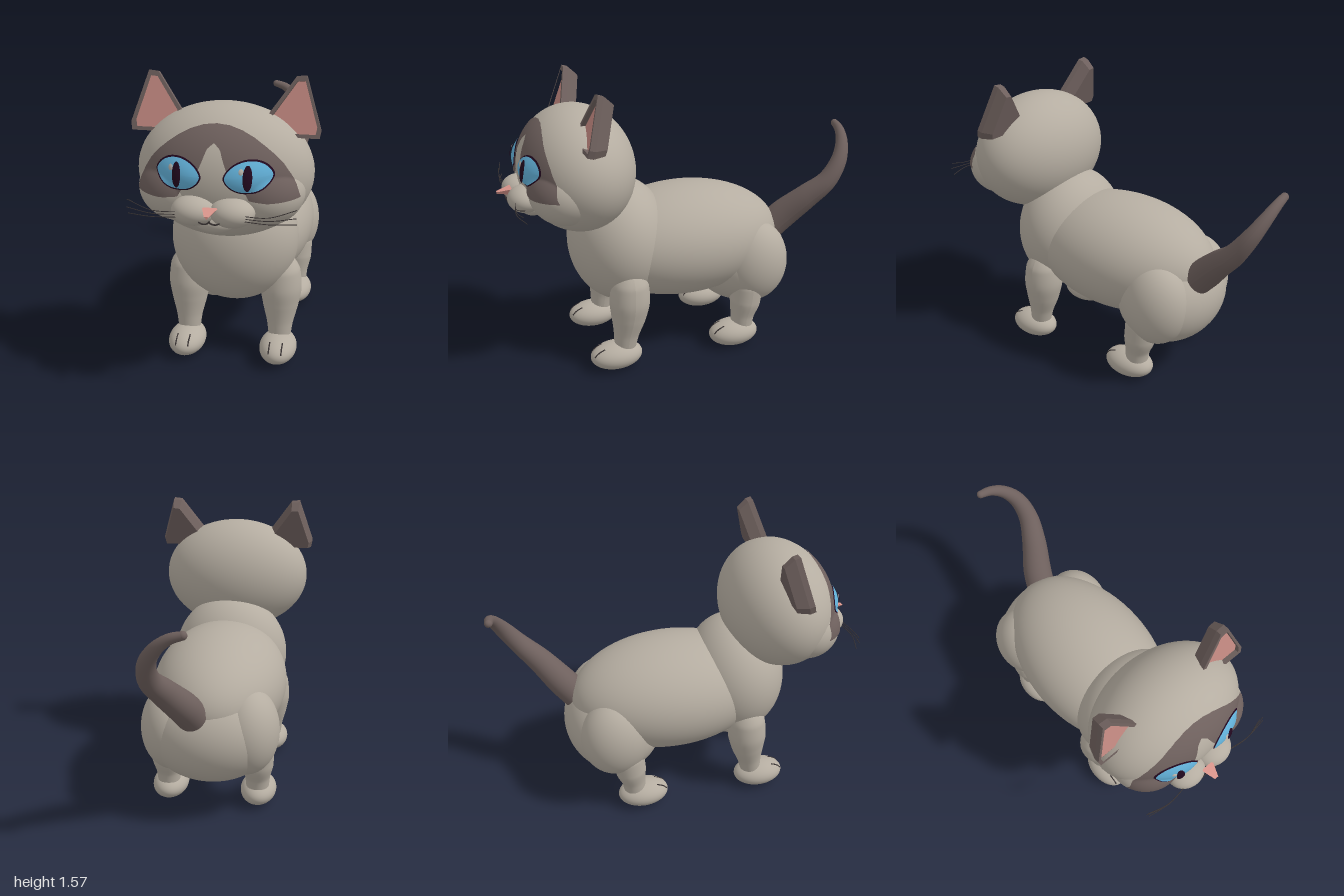
import * as THREE from 'three';

const mat = (name, color, side = THREE.FrontSide) =>
  Object.assign(new THREE.MeshStandardMaterial({ color, side }), { name });

export function createModel() {
  const model = new THREE.Group();
  model.name = 'cat';
  const fur = mat('cream grey fur', 0xb5ada1);
  const brown = mat('brown points', 0x6e605d);
  const earPink = mat('inner ear pink', 0xc58a82, THREE.DoubleSide);
  const blue = mat('eye blue', 0x62b0d8);
  const dark = mat('pupil and rim', 0x22081f);
  const nosePink = mat('nose pink', 0xd8948a);
  const line = mat('whisker line', 0x3a3434);
  const glint = mat('eye glint', 0xb9b4ad);

  const add = (name, geometry, material, parent = model) => {
    const m = new THREE.Mesh(geometry, material);
    m.name = name;
    parent.add(m);
    return m;
  };
  const ball = (name, c, r, material = fur) => {
    const m = add(name, new THREE.SphereGeometry(1, 64, 40), material);
    m.position.set(...c);
    m.scale.set(...r);
    return m;
  };
  const vecs = (pts) => pts.map((p) => new THREE.Vector3(p[0], p[1], p[2]));

  // Tube through points [x, y, z, radius] with a varying radius
  const limb = (pts, n = 40, sides = 28) => {
    const curve = new THREE.CatmullRomCurve3(vecs(pts));
    const g = new THREE.TubeGeometry(curve, n, 1, sides);
    const radii = new THREE.CatmullRomCurve3(pts.map((p) => new THREE.Vector3(p[3], 0, 0)));
    const pos = g.attributes.position, v = new THREE.Vector3();
    for (let i = 0; i <= n; i++) {
      const c = curve.getPointAt(i / n);
      const r = Math.max(0, radii.getPoint(curve.getUtoTmapping(i / n)).x);
      for (let j = 0; j <= sides; j++) {
        const k = i * (sides + 1) + j;
        v.fromBufferAttribute(pos, k).sub(c).multiplyScalar(r).add(c);
        pos.setXYZ(k, v.x, v.y, v.z);
      }
    }
    g.computeVertexNormals();
    return g;
  };
  const strand = (name, pts, r = 0.003) =>
    add(name, new THREE.TubeGeometry(new THREE.CatmullRomCurve3(vecs(pts)), 10, r, 6), line);

  // Extruded outline whose face at depth z = zEnd is scaled about a centre
  const wedge = (pts, z0, z1, zEnd, scale, cx, cy) => {
    const shape = new THREE.Shape(pts.map((p) => new THREE.Vector2(...p)));
    const g = new THREE.ExtrudeGeometry(shape, { depth: z1 - z0, bevelEnabled: false }).translate(0, 0, z0);
    const p = g.attributes.position;
    for (let i = 0; i < p.count; i++) {
      if (Math.abs(p.getZ(i) - zEnd) < 1e-5) {
        p.setX(i, cx + (p.getX(i) - cx) * scale);
        p.setY(i, cy + (p.getY(i) - cy) * scale);
      }
    }
    g.computeVertexNormals();
    return g;
  };

  // Body
  ball('torso', [0, 0.62, -0.02], [0.37, 0.32, 0.57]);
  ball('chest', [0, 0.67, 0.36], [0.335, 0.35, 0.28]);
  ball('rump', [0, 0.47, -0.36], [0.355, 0.275, 0.28]);

  // Head
  const skull = [[0, 1.11, 0.58], [0.43, 0.33, 0.305]];
  const cheeks = [1, -1].map((s) => [[0.2 * s, 1.05, 0.68], [0.2, 0.17, 0.19]]);
  ball('head', ...skull);
  cheeks.forEach((c) => ball('cheek', ...c));
  ball('chin', [0, 0.935, 0.82], [0.1, 0.06, 0.075]);

  // Front face of the head at x, y, used to lay the face markings on it
  const faceZ = (x, y) => Math.max(...[skull, ...cheeks].map(([c, r]) =>
    c[2] + r[2] * Math.sqrt(Math.max(0, 1 - ((x - c[0]) / r[0]) ** 2 - ((y - c[1]) / r[1]) ** 2))));
  const patch = (name, material, nu, nv, f) => {
    const pos = [], idx = [];
    for (let j = 0; j <= nv; j++) {
      for (let i = 0; i <= nu; i++) {
        const [x, y, lift] = f(i / nu, j / nv);
        pos.push(x, y, faceZ(x, y) + lift);
        if (i < nu && j < nv) {
          const a = j * (nu + 1) + i, b = a + nu + 1;
          idx.push(a, a + 1, b + 1, a, b + 1, b);
        }
      }
    }
    const g = new THREE.BufferGeometry();
    g.setAttribute('position', new THREE.Float32BufferAttribute(pos, 3));
    g.setIndex(idx);
    g.computeVertexNormals();
    return add(name, g, material);
  };

  // Brown mask between a lower and an upper edge, mirrored about x = 0
  const lower = [[0, 1.31], [0.03, 1.285], [0.05, 1.23], [0.075, 1.17], [0.11, 1.115], [0.15, 1.09],
    [0.165, 1.06], [0.25, 1.05], [0.387, 1.055]];
  const upper = [[0, 1.383], [0.06, 1.377], [0.12, 1.358], [0.175, 1.33], [0.225, 1.295], [0.27, 1.258],
    [0.31, 1.215], [0.345, 1.16], [0.37, 1.11], [0.387, 1.055]];
  const lerpAt = (pts, x) => {
    let i = 1;
    while (i < pts.length - 1 && pts[i][0] < x) i++;
    const [a, b] = [pts[i - 1], pts[i]];
    return a[1] + (b[1] - a[1]) * Math.min(1, (x - a[0]) / (b[0] - a[0]));
  };
  patch('faceMask', brown, 120, 24, (u, v) => {
    const x = (u * 2 - 1) * 0.387, k = Math.abs(x);
    return [x, THREE.MathUtils.lerp(lerpAt(lower, k), lerpAt(upper, k), v), 0.006];
  });

  // Oval patch; point > 0 pinches the corners into an almond
  const oval = (name, material, cx, cy, rx, ry, lift, dome, point = 0, tilt = 0) =>
    patch(name, material, 40, 8, (u, v) => {
      const a = u * Math.PI * 2, k = 1 - v, s = Math.sin(a);
      const dx = rx * k * Math.cos(a);
      return [cx + dx, cy + ry * k * s * Math.abs(s) ** point + dx * tilt, lift + dome * (1 - k * k)];
    });

  for (const s of [1, -1]) {
    // Eye
    oval('eyeRim', dark, 0.163 * s, 1.17, 0.113, 0.077, 0.009, 0.012, 0.25, 0.06 * s);
    oval('iris', blue, 0.163 * s, 1.17, 0.106, 0.07, 0.013, 0.014, 0.25, 0.06 * s);
    oval('pupil', dark, 0.163 * s, 1.17, 0.021, 0.058, 0.033, 0.004);
    oval('eyeGlint', glint, 0.163 * s - 0.029, 1.2, 0.011, 0.014, 0.032, 0.003);

    // Muzzle and whiskers
    ball('muzzle', [0.09 * s, 1, 0.87], [0.105, 0.07, 0.09]);
    strand('mouth', [[0, 0.985, 0.955], [0.004 * s, 0.972, 0.95], [0.028 * s, 0.965, 0.949], [0.05 * s, 0.974, 0.951]], 0.004);
    [[1.05, 0.92], [1.015, 0.93], [0.98, 0.915]].forEach(([y, z], i) =>
      strand('whisker', [[0.14 * s, 1.008 - i * 0.012, 0.93], [0.27 * s, 1.015 - i * 0.016, 0.945], [0.39 * s, y, z]], 0.002));

    // Ear: open frame, pink hollow and tapered back, leaning backwards
    const ear = new THREE.Group();
    ear.name = s > 0 ? 'leftEar' : 'rightEar';
    ear.position.set(0, 1.285, 0.595);
    ear.rotation.x = -0.28;
    model.add(ear);
    const edge = [[0.45, 0], [0.457, 0.04], [0.378, 0.29], [0.332, 0.285], [0.205, 0.1], [0.215, 0]]
      .map(([x, y]) => [x * s, y]);
    const cx = 0.35 * s, cy = 0.12;
    const inner = edge.map(([x, y]) => [cx + (x - cx) * 0.83, cy + (y - cy) * 0.85]);
    const toV = (pts) => pts.map((p) => new THREE.Vector2(...p));
    const ring = new THREE.Shape(toV(edge));
    ring.holes.push(new THREE.Path(toV(inner)));
    add('earFrame', new THREE.ExtrudeGeometry(ring, { depth: 0.03, bevelEnabled: false }), brown, ear);
    add('earBack', wedge(edge, -0.06, 0, -0.06, 0.82, cx, cy), brown, ear);
    add('innerEar', new THREE.ShapeGeometry(new THREE.Shape(toV(inner))).translate(0, 0, 0.008), earPink, ear);

    // Legs, thighs and paws
    const x = 0.25 * s;
    add('frontLeg', limb([[x, 0.59, 0.37, 0], [x, 0.565, 0.37, 0.06], [x, 0.5, 0.372, 0.1], [x, 0.4, 0.376, 0.11],
      [x, 0.3, 0.385, 0.095], [x, 0.2, 0.4, 0.07], [x, 0.1, 0.412, 0.056]]), fur);
    ball('thigh', [0.2 * s, 0.49, -0.38], [0.172, 0.24, 0.2]);
    add('hindLeg', limb([[x, 0.47, -0.33, 0], [x, 0.44, -0.33, 0.06], [x, 0.36, -0.325, 0.09], [x, 0.27, -0.315, 0.088],
      [x, 0.18, -0.3, 0.068], [x, 0.09, -0.295, 0.06]]), fur);
    for (const z of [0.46, -0.245]) {
      ball('paw', [x, 0.08, z], [0.099, 0.075, 0.145]);
      for (const d of [-0.033, 0.033]) {
        strand('toeLine', [0.1, 0.12, 0.14].map((y) =>
          [x + d, y, z + 0.145 * Math.sqrt(1 - (d / 0.099) ** 2 - ((y - 0.08) / 0.075) ** 2)]), 0.004);
      }
    }
  }

  // Nose
  add('nose', wedge([[-0.038, 1.037], [0, 0.995], [0.038, 1.037]], 0.925, 1, 1, 0.3, 0, 1.015), nosePink);

  // Tail
  add('tail', limb([[0.05, 0.6, -0.53, 0.085], [0.09, 0.7, -0.62, 0.083], [0.16, 0.82, -0.73, 0.07],
    [0.205, 0.92, -0.83, 0.056], [0.195, 1.03, -0.905, 0.045], [0.14, 1.12, -0.95, 0.034],
    [0.07, 1.175, -0.97, 0.026], [0.01, 1.195, -0.975, 0.021]], 60), brown);
  ball('tailTip', [0.01, 1.195, -0.975], [0.021, 0.021, 0.021], brown);

  return model;
}
